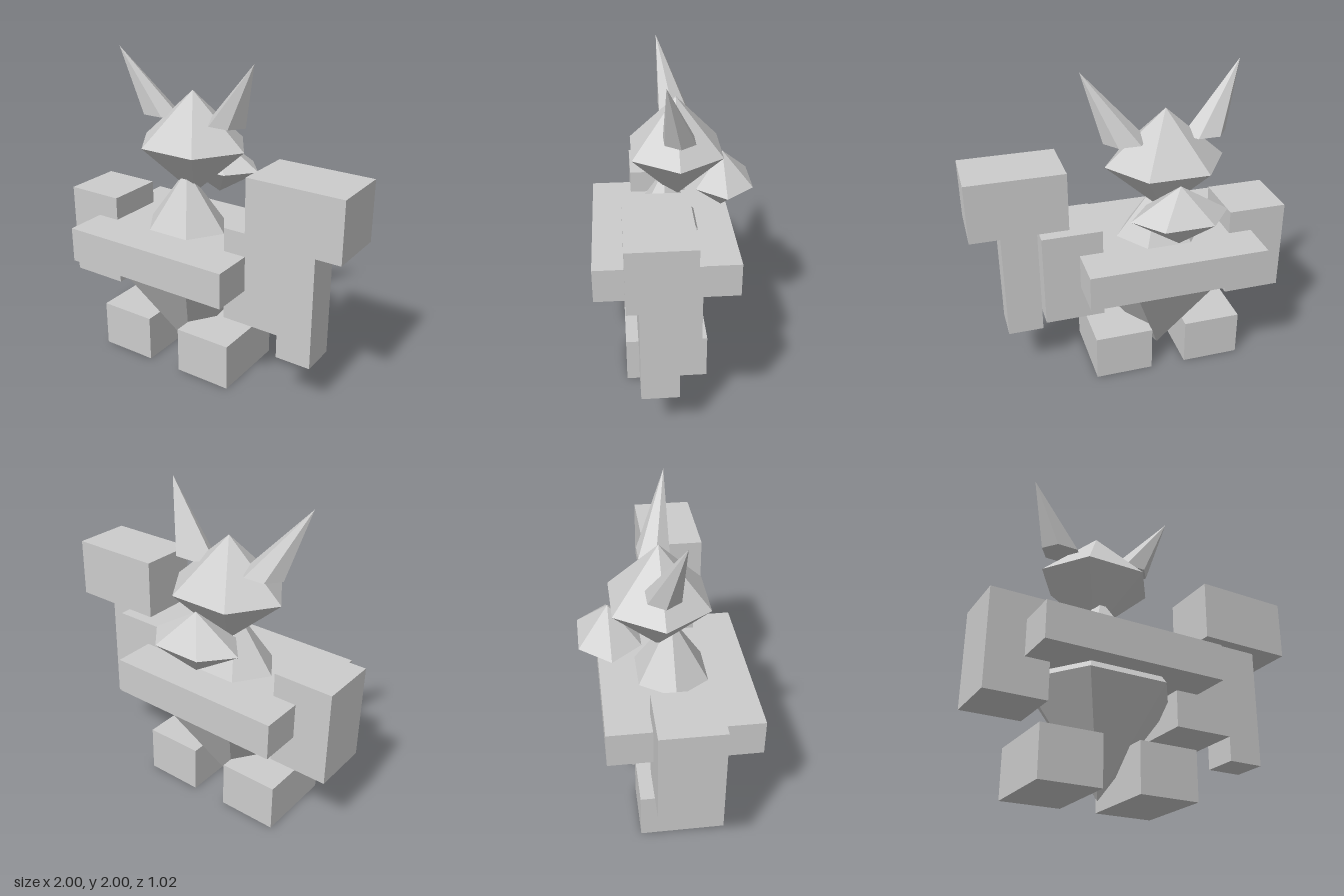
import * as THREE from 'three';

const CX = -0.21; // mirror plane of the head, body and feet

export function createModel() {
  const model = new THREE.Group();
  model.name = 'hornedFigure';
  const stone = new THREE.MeshStandardMaterial({ color: 0xcccccc });
  stone.name = 'pale stone grey';
  stone.flatShading = true;

  const add = (name, geometry) => {
    const mesh = new THREE.Mesh(geometry, stone);
    mesh.name = name;
    model.add(mesh);
  };

  // Six-sided double pyramid; rz is the radius before the hexagon's flat sides
  const gem = (name, y, z, rx, ry, rz) =>
    add(name, new THREE.SphereGeometry(1, 6, 2).scale(rx, ry, rz).translate(CX, y, z));

  // Box given by its limits on each axis
  const block = (name, [x0, x1], [y0, y1], [z0, z1]) =>
    add(name, new THREE.BoxGeometry(x1 - x0, y1 - y0, z1 - z0)
      .translate((x0 + x1) / 2, (y0 + y1) / 2, (z0 + z1) / 2));

  // Body, head and the lump behind the neck
  gem('body', 0.643, 0.04, 0.487, 0.637, 0.416);
  gem('head', 1.435, -0.035, 0.375, 0.335, 0.323);
  gem('neckLump', 1.21, -0.33, 0.3, 0.19, 0.207);

  // Horns: level hexagonal bases with the tips sheared outward and forward
  for (const side of [1, -1]) {
    const horn = new THREE.ConeGeometry(1, 1, 6).rotateY(Math.PI / 2).translate(0, 0.5, 0);
    const p = horn.attributes.position;
    for (let i = 0; i < p.count; i++) {
      const t = p.getY(i);
      p.setXYZ(i,
        CX + side * 0.245 + p.getX(i) * 0.137 + side * 0.245 * t,
        1.588 + 0.412 * t,
        -0.038 + p.getZ(i) * 0.107 + 0.092 * t);
    }
    add(side > 0 ? 'leftHorn' : 'rightHorn', horn);
  }

  // Belt
  block('belt', [-0.775, 0.355], [0.685, 0.91], [-0.397, 0.51]);

  // Arms: a short right arm, and a left arm with raised fist
  block('rightArm', [-1, -0.625], [0.457, 1.06], [-0.132, 0.245]);
  block('leftUpperArm', [0.207, 0.583], [0.457, 1.06], [-0.132, 0.245]);
  block('leftForearm', [0.583, 0.808], [0.305, 1.06], [0.02, 0.245]);
  block('leftFist', [0.397, 1], [1.06, 1.436], [-0.058, 0.318]);

  // Feet
  block('leftFoot', [-0.095, 0.28], [0, 0.303], [-0.203, 0.32]);
  block('rightFoot', [-0.7, -0.325], [0, 0.303], [-0.203, 0.32]);

  return model;
}
